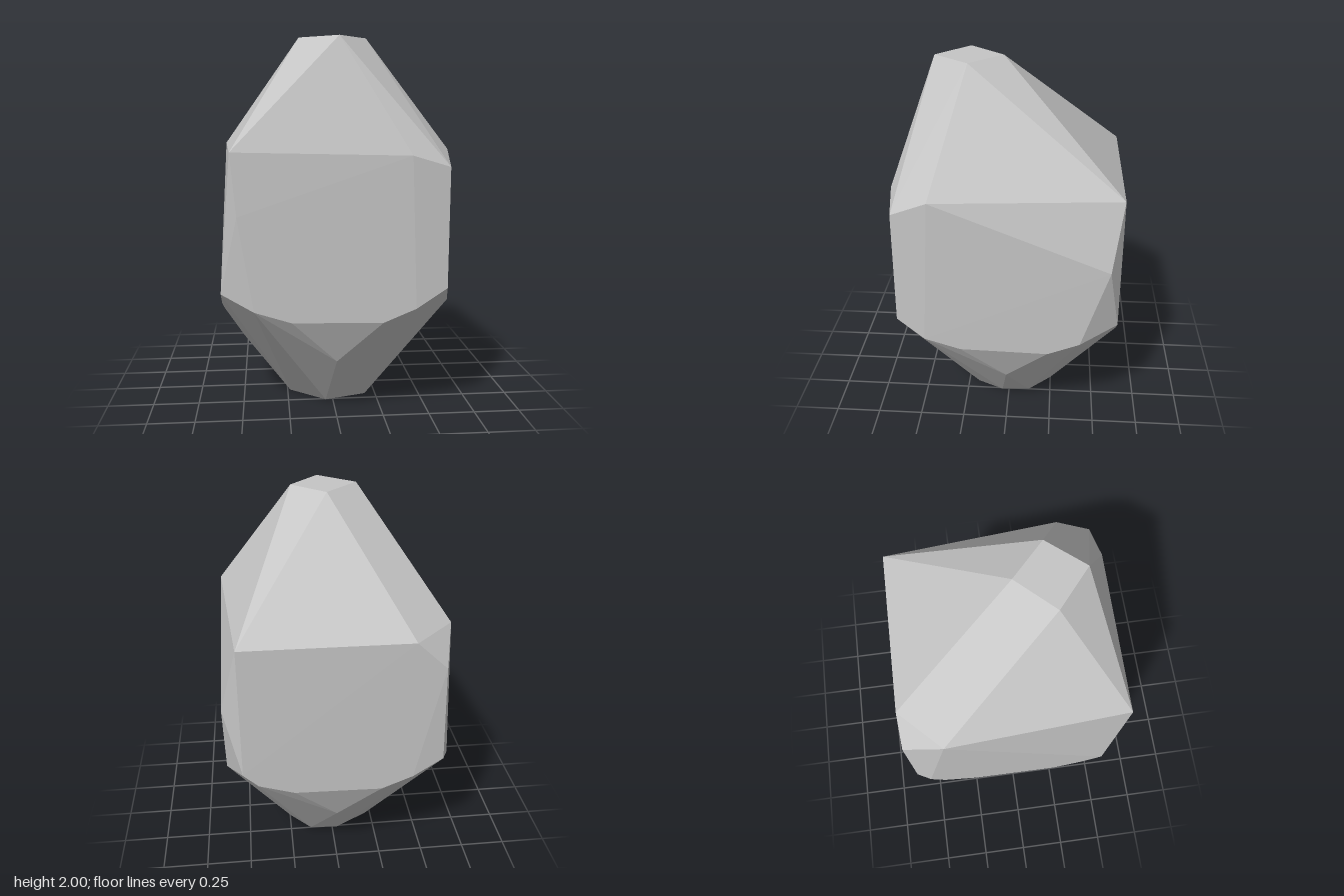
import * as THREE from 'three';
import { ConvexGeometry } from 'three/addons/geometries/ConvexGeometry.js';

export function createModel() {
  const group = new THREE.Group();
  group.name = 'facetedStone';
  const stone = new THREE.MeshStandardMaterial({ color: 0xc5c5c5 });
  stone.name = 'light stone grey';

  const points = [];
  const add = (x, y, z) => points.push(new THREE.Vector3(x, y, z));
  const ring = (y, list) => list.forEach(([x, z]) => add(x, y, z));

  // small slanted tip
  ring(2, [[0, 0.04], [-0.18, 0.23], [0.02, 0.4], [0.18, 0.21]]);

  // shoulder where the sloping crown meets the sides
  ring(1.42, [[-0.54, 0.59], [-0.6, -0.38], [-0.38, -0.6], [0.51, -0.595], [0.595, 0.38]]);
  add(0.37, 1.4, 0.6);

  // chipped vertical corners
  add(0.57, 1.34, 0.57);
  add(0.565, 0.715, 0.58);
  add(-0.51, 1.1, 0.6);
  add(-0.6, 0.69, 0.51);
  add(0.6, 1.06, -0.54);
  add(0.51, 0.69, -0.6);
  add(-0.54, 1.27, -0.6);
  add(-0.563, 0.71, -0.585);
  add(-0.6, 0.7, -0.51);

  // lower edge of each of the four sides, with a chip in the middle
  for (let i = 0; i < 4; i++) {
    const c = Math.round(Math.cos(i * Math.PI / 2));
    const s = Math.round(Math.sin(i * Math.PI / 2));
    const side = (u, y, d) => add(u * c + d * s, y, d * c - u * s);
    side(-0.43, 0.615, 0.6);
    side(-0.24, 0.555, 0.6);
    side(0.23, 0.545, 0.6);
    side(0.4, 0.615, 0.6);
    side(0, 0.31, 0.5);
  }

  // flat eight-sided foot
  ring(0, [[0.13, -0.25], [0.25, -0.12], [0.26, 0.04], [0.19, 0.19],
    [-0.04, 0.26], [-0.235, 0.1], [-0.22, -0.15], [-0.03, -0.26]]);

  const body = new THREE.Mesh(new ConvexGeometry(points), stone);
  body.name = 'stoneBody';
  group.add(body);
  return group;
}
